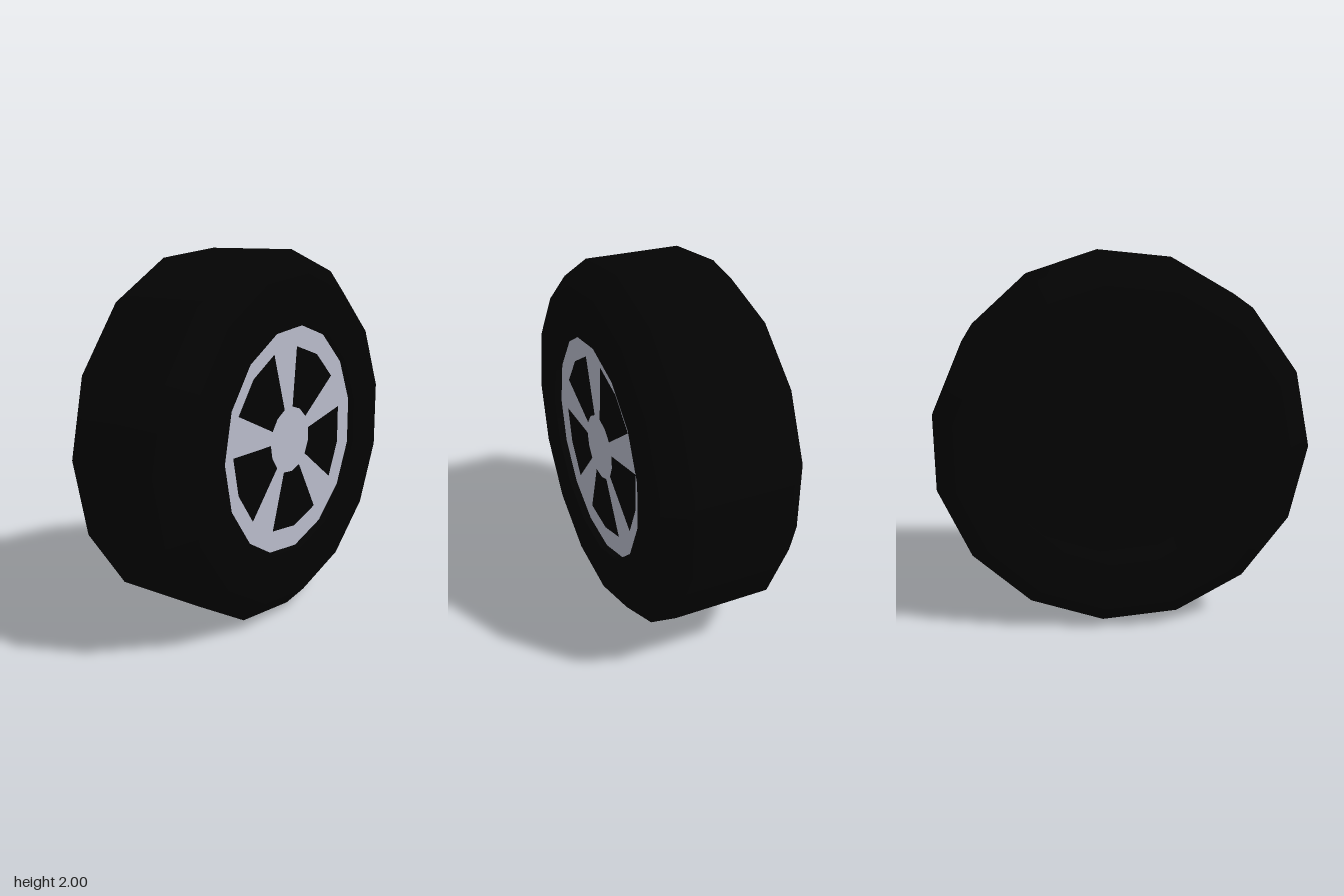
import * as THREE from 'three';

const SIDES = 15;
const STEP = (Math.PI * 2) / SIDES;

const rubber = new THREE.MeshStandardMaterial({ color: 0x030303, side: THREE.DoubleSide });
rubber.name = 'black rubber';
const alloy = new THREE.MeshStandardMaterial({ color: 0xb9bccb, side: THREE.DoubleSide });
alloy.name = 'silver alloy';

// Corner k of a 15-sided ring, in the plane that is later turned to face +x
const corner = (radius, k) =>
  new THREE.Vector2(-radius * Math.cos(k * STEP), radius * Math.sin(k * STEP));

function addPart(group, name, geometry, material) {
  const mesh = new THREE.Mesh(geometry, material);
  mesh.name = name;
  group.add(mesh);
}

export function createModel() {
  const wheel = new THREE.Group();
  wheel.name = 'wheel';

  // Tyre: hollow shell open at the back, one band per profile edge,
  // smooth around the axle and crisp between bands
  const tyre = new THREE.Group();
  tyre.name = 'tyre';
  wheel.add(tyre);
  const profile = [
    [0.62, -0.383], [0.885, -0.383], [1.0055, -0.265], [1.0055, 0.265],
    [0.885, 0.383], [0.62, 0.383], [0.62, 0.33],
  ].map(([r, h]) => new THREE.Vector2(r, h));
  const bands = ['backWall', 'backBevel', 'tread', 'frontBevel', 'frontWall', 'rimSeat'];
  bands.forEach((name, i) => {
    const band = new THREE.LatheGeometry(profile.slice(i, i + 2), SIDES);
    addPart(tyre, name, band.rotateZ(-Math.PI / 2), rubber);
  });

  // Dark backing just behind the rim
  addPart(wheel, 'backingDisc',
    new THREE.CircleGeometry(0.62, SIDES, Math.PI).rotateY(Math.PI / 2).translate(0.33, 0, 0),
    rubber);

  // Rim plate: five windows leave the hub, spokes and outer ring
  const rim = new THREE.Shape(Array.from({ length: SIDES }, (_, k) => corner(0.62, k)));
  for (let i = 0; i < 5; i++) {
    const ks = [0, 1, 2].map((k) => -3 * i - k);
    rim.holes.push(new THREE.Path([
      ...ks.map((k) => corner(0.502, k)),
      ...ks.reverse().map((k) => corner(0.18, k)),
    ]));
  }
  addPart(wheel, 'rim',
    new THREE.ShapeGeometry(rim).rotateY(Math.PI / 2).translate(0.343, 0, 0), alloy);

  // Stand on the ground, centred front to back
  wheel.position.set(0, 1, -0.011);
  const model = new THREE.Group();
  model.name = 'model';
  model.add(wheel);
  return model;
}
